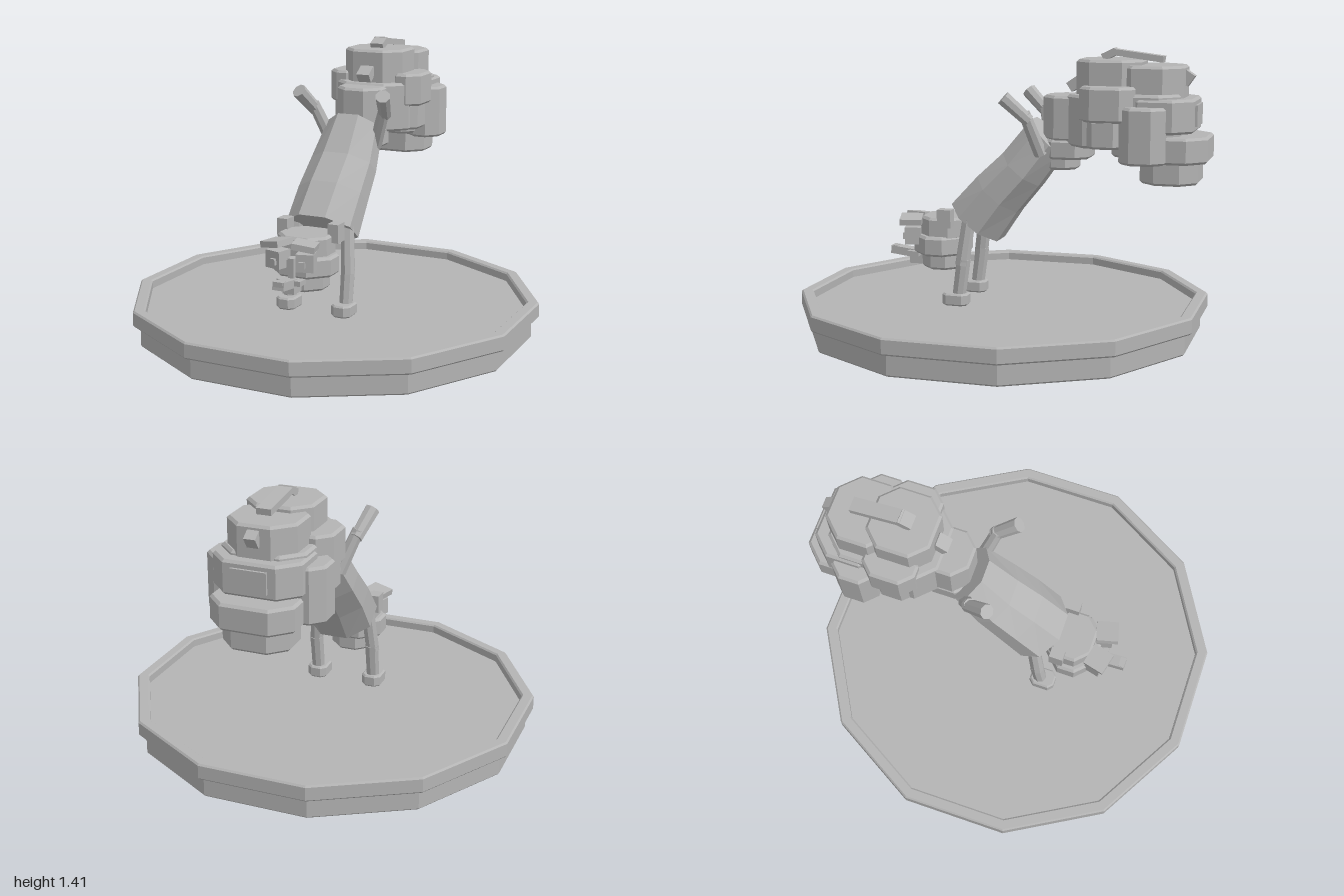
import * as THREE from 'three';

const clay = new THREE.MeshStandardMaterial({ color: 0xb4b4b4, flatShading: true });
clay.name = 'grey clay';

export function createModel() {
  const root = new THREE.Group();
  root.name = 'animalOnPlinth';
  const add = (name, geo, parent = root) => {
    const m = new THREE.Mesh(geo, clay);
    m.name = name;
    parent.add(m);
    return m;
  };

  // Upright block with cut corners and a fine bevel
  const block = (name, x0, x1, y0, y1, z0, z1, cut = 0.06, bevel = 0.012) => {
    const w = (x1 - x0) / 2 - bevel, d = (z1 - z0) / 2 - bevel;
    const c = Math.min(cut, w * 0.7, d * 0.7);
    const s = new THREE.Shape([
      [w, -d + c], [w, d - c], [w - c, d], [-w + c, d],
      [-w, d - c], [-w, -d + c], [-w + c, -d], [w - c, -d],
    ].map(([x, y]) => new THREE.Vector2(x, y)));
    const g = new THREE.ExtrudeGeometry(s, {
      depth: y1 - y0 - 2 * bevel, bevelEnabled: true, bevelThickness: bevel,
      bevelSize: bevel, bevelSegments: 1,
    });
    g.rotateX(-Math.PI / 2);
    g.translate((x0 + x1) / 2, y0 + bevel, (z0 + z1) / 2);
    return add(name, g);
  };
  const mid = (name, hw, ...rest) => block(name, -hw, hw, ...rest);

  // Straight limb between two points
  const rod = (name, a, b, r0, r1, sides = 8) => {
    const A = new THREE.Vector3(...a), B = new THREE.Vector3(...b);
    const dir = B.clone().sub(A);
    const m = add(name, new THREE.CylinderGeometry(r1, r0, dir.length(), sides));
    m.position.copy(A).add(B).multiplyScalar(0.5);
    m.quaternion.setFromUnitVectors(new THREE.Vector3(0, 1, 0), dir.normalize());
    return m;
  };
  const box = (name, size, pos, rot = [0, 0, 0]) => {
    const m = add(name, new THREE.BoxGeometry(...size));
    m.position.set(...pos);
    m.rotation.set(...rot);
    return m;
  };

  // Twelve-sided plinth with a raised rim
  const profile = [[0, 0], [0.975, 0], [0.983, 0.008], [0.983, 0.105], [1.01, 0.105], [1.018, 0.113],
    [1.018, 0.177], [1.01, 0.185], [0.965, 0.185], [0.957, 0.177], [0.957, 0.14], [0, 0.14]];
  const plinth = add('plinth', new THREE.LatheGeometry(profile.map(p => new THREE.Vector2(...p)), 12));
  plinth.rotation.y = Math.PI / 12;
  plinth.position.z = 0.015;

  // Slanted body: octagonal rings given by front point, back point (z, y) and half width
  const rings = [
    [0.263, 0.627, 0.03, 0.45, 0.17],
    [0.13, 0.77, -0.07, 0.6, 0.168],
    [0.0, 0.89, -0.18, 0.735, 0.16],
    [-0.14, 1.06, -0.295, 0.895, 0.135],
  ];
  const pos = [], idx = [];
  for (const [fz, fy, bz, by, hw] of rings) {
    for (let i = 0; i < 8; i++) {
      const a = (i + 0.5) * Math.PI / 4, k = Math.cos(Math.PI / 8);
      const t = 0.5 + 0.5 * Math.cos(a) / k;
      pos.push(hw * Math.sin(a) / k, by + (fy - by) * t, bz + (fz - bz) * t);
    }
  }
  for (let r = 0; r < 3; r++) for (let i = 0; i < 8; i++) {
    const a = r * 8 + i, b = r * 8 + (i + 1) % 8;
    idx.push(a, b, b + 8, a, b + 8, a + 8);
  }
  for (let i = 1; i < 7; i++) idx.push(0, i + 1, i, 24, 24 + i, 25 + i);
  const bodyGeo = new THREE.BufferGeometry();
  bodyGeo.setAttribute('position', new THREE.Float32BufferAttribute(pos, 3));
  bodyGeo.setIndex(idx);
  bodyGeo.computeVertexNormals();
  add('body', bodyGeo);

  // Head, stacked from three blocks
  mid('headTop', 0.13, 0.45, 0.56, 0.2, 0.43);
  mid('headMiddle', 0.158, 0.37, 0.468, 0.2, 0.462, 0.08);
  mid('jaw', 0.11, 0.295, 0.38, 0.22, 0.43);
  box('snout', [0.06, 0.04, 0.17], [0, 0.36, 0.52], [-0.12, 0, 0]);
  box('noseTip', [0.05, 0.03, 0.03], [0, 0.375, 0.59]);
  box('chin', [0.06, 0.04, 0.09], [0, 0.325, 0.46]);
  box('noseBridge', [0.03, 0.1, 0.05], [0, 0.42, 0.455]);

  // Bushy tail of overlapping blocks
  mid('tailRoot', 0.085, 0.82, 0.9, -0.365, -0.2, 0.04);
  mid('tailRootUpper', 0.12, 0.875, 0.97, -0.43, -0.2, 0.05);
  mid('tailFront', 0.12, 0.965, 1.18, -0.44, -0.2, 0.06);
  mid('tailCollar', 0.205, 0.945, 1.19, -0.75, -0.33, 0.09);
  mid('tailTop', 0.16, 1.16, 1.355, -0.68, -0.37, 0.07);
  mid('tailTopRear', 0.165, 1.16, 1.33, -0.88, -0.56, 0.08);
  mid('tailCore', 0.2, 0.9, 1.2, -0.87, -0.55, 0.08);
  mid('tailRear', 0.21, 1.02, 1.18, -0.935, -0.6, 0.08);
  mid('tailRearLow', 0.2, 0.88, 1.005, -1.0, -0.66, 0.08);
  mid('tailTip', 0.16, 0.775, 0.89, -0.955, -0.68, 0.07);
  box('tailStripe', [0.07, 0.03, 0.25], [0, 1.372, -0.65], [-0.13, 0, 0]);
  box('tailStripeFront', [0.07, 0.035, 0.07], [0, 1.376, -0.515], [0.45, 0, 0]);
  box('tailTuftFront', [0.07, 0.05, 0.07], [0, 1.235, -0.35], [0.6, 0, 0]);
  box('tailTuftRear', [0.055, 0.06, 0.05], [0, 1.27, -0.885], [-0.6, 0, 0]);
  box('tailRearPanel', [0.17, 0.1, 0.02], [0, 1.1, -0.937]);

  // Mirrored parts
  for (const [side, s] of [['left', 1], ['right', -1]]) {
    const pair = (name, a, b, ...rest) =>
      block(side + name, Math.min(s * a, s * b), Math.max(s * a, s * b), ...rest);
    pair('TailUpperSide', 0.08, 0.255, 1.07, 1.235, -0.67, -0.41, 0.06);
    pair('TailLowerSide', 0.06, 0.235, 0.945, 1.08, -0.64, -0.42, 0.06);
    pair('TailRearSide', 0.1, 0.282, 0.88, 1.145, -0.82, -0.605, 0.05);
    pair('Hand', 0.1, 0.2, 0.14, 0.2, 0.15, 0.28, 0.02, 0.008);

    // Front legs carrying the weight
    rod(side + 'Forearm', [s * 0.152, 0.18, 0.2], [s * 0.152, 0.37, 0.175], 0.034, 0.036);
    rod(side + 'UpperArm', [s * 0.155, 0.34, 0.182], [s * 0.135, 0.58, 0.15], 0.036, 0.034);

    // Hind legs kicked up
    rod(side + 'HindLeg', [s * 0.12, 0.9, -0.205], [s * 0.195, 1.1, -0.145], 0.035, 0.03);
    rod(side + 'HindFoot', [s * 0.19, 1.065, -0.165], [s * 0.228, 1.175, -0.05], 0.032, 0.037);

    // Face details
    box(side + 'Ear', [0.055, 0.09, 0.07], [s * 0.135, 0.565, 0.275]);
    box(side + 'Eye', [0.085, 0.085, 0.08], [s * 0.075, 0.462, 0.465], [0, s * 0.25, 0]);
    box(side + 'Pupil', [0.03, 0.03, 0.02], [s * 0.075, 0.455, 0.51], [0, s * 0.25, 0]);
    box(side + 'Brow', [0.11, 0.03, 0.11], [s * 0.075, 0.54, 0.475], [0, s * 0.25, -s * 0.15]);
    box(side + 'Whisker', [0.045, 0.025, 0.06], [s * 0.04, 0.36, 0.475]);
  }
  return root;
}
